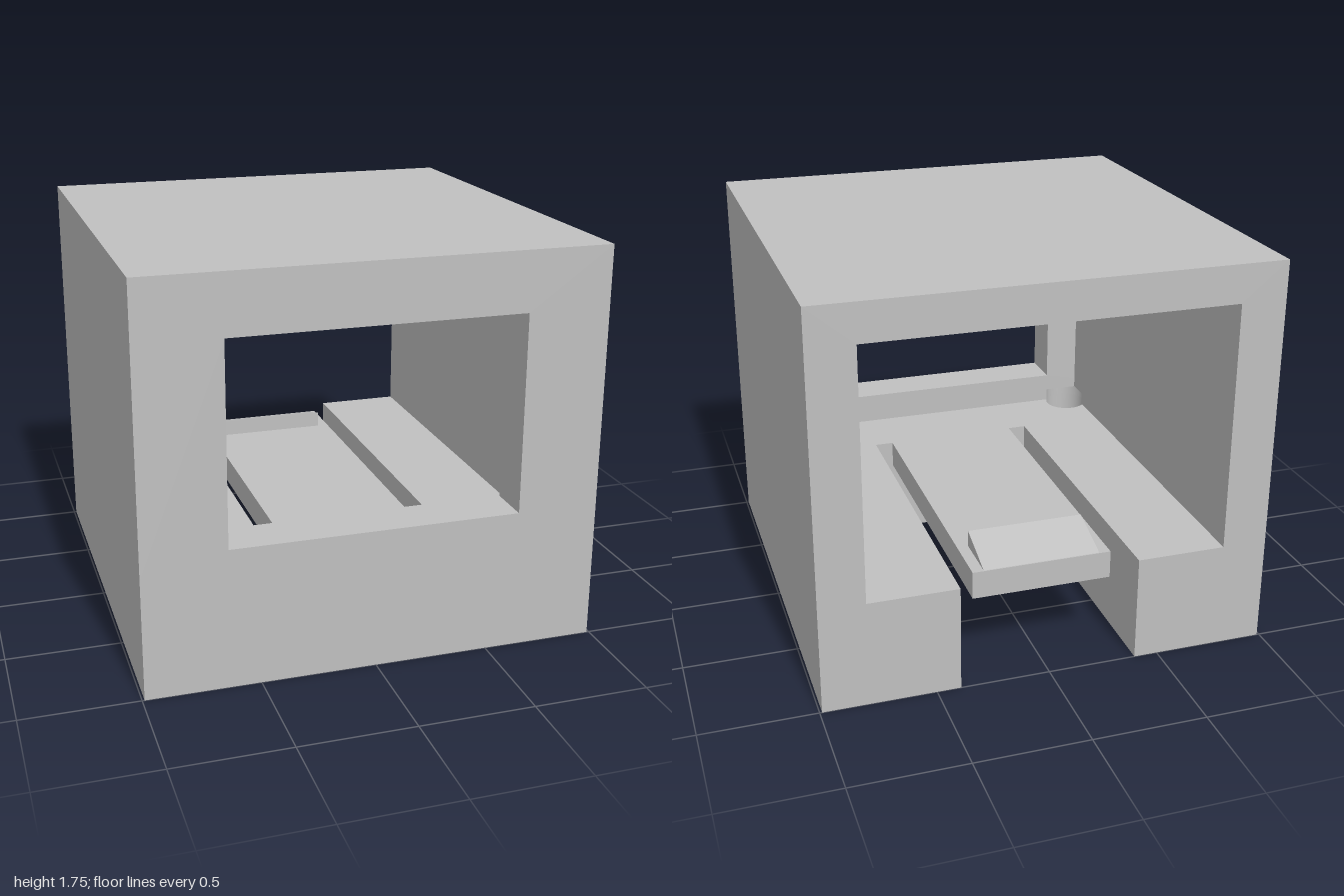
import * as THREE from 'three';
import { toCreasedNormals } from 'three/addons/utils/BufferGeometryUtils.js';

const W = 0.99, H = 1.75, D = 1;          // outer half width, height, half depth
const IN = 0.79, FLOOR = 0.477, CEIL = 1.583; // inner cavity
const SLOT = 0.395, SLOT_END = 0.49;      // slot in the floor
const WALL = 0.8;                         // inner face of the front wall
const HX = 0.72, HZ = 0.75, R = 0.102, HOLE_TOP = 0.535; // screw holes

const polygon = (pts) => new THREE.Shape(pts.map(([x, y]) => new THREE.Vector2(x, y)));
const rect = (x0, y0, x1, y1) => polygon([[x0, y0], [x1, y0], [x1, y1], [x0, y1]]);

function extrude(shape, depth) {
  return new THREE.ExtrudeGeometry(shape, { depth, bevelEnabled: false, curveSegments: 32 });
}
// profile in x,y swept from z0 to z1
const alongZ = (shape, z0, z1) => extrude(shape, z1 - z0).translate(0, 0, z0);
// outline in x,z raised from y0 to y1
const alongY = (shape, y0, y1) => extrude(shape, y1 - y0).rotateX(Math.PI / 2).translate(0, y1, 0);
// profile in z,y swept across a width centred on x = 0
const alongX = (shape, w) => extrude(shape, w).rotateY(-Math.PI / 2).translate(w / 2, 0, 0);

export function createModel() {
  const model = new THREE.Group();
  model.name = 'housing';
  const grey = new THREE.MeshStandardMaterial({ color: 0xc0c0c0 });
  grey.name = 'light grey';
  const add = (name, geometry) => {
    const mesh = new THREE.Mesh(toCreasedNormals(geometry, 0.5), grey);
    mesh.name = name;
    model.add(mesh);
  };

  // Rear tunnel, open at the back, with a slot through its floor
  add('tunnel', alongZ(polygon([
    [-W, 0], [-SLOT, 0], [-SLOT, FLOOR], [-IN, FLOOR], [-IN, CEIL], [IN, CEIL],
    [IN, FLOOR], [SLOT, FLOOR], [SLOT, 0], [W, 0], [W, H], [-W, H],
  ]), -D, SLOT_END));

  // Solid front floor with two screw holes
  const base = rect(-W, SLOT_END, W, D);
  for (const s of [-1, 1]) {
    base.holes.push(new THREE.Path().absarc(s * HX, HZ, R, 0, Math.PI * 2, true));
  }
  add('frontFloor', alongY(base, 0, FLOOR));

  // Low wall band whose corners are notched by the screw holes
  const side = Math.acos((IN - HX) / R), front = Math.asin((WALL - HZ) / R);
  const band = polygon([[-W, SLOT_END], [-W, D], [W, D], [W, SLOT_END], [IN, SLOT_END]]);
  band.autoClose = true;
  band.lineTo(IN, HZ - R * Math.sin(side));
  band.absarc(HX, HZ, R, -side, Math.PI - front, false);
  band.absarc(-HX, HZ, R, front, Math.PI + side, false);
  band.lineTo(-IN, SLOT_END);
  add('notchedWallBand', alongY(band, FLOOR, HOLE_TOP));

  // Side walls and roof above the band
  add('upperWalls', alongZ(polygon([
    [-W, HOLE_TOP], [-IN, HOLE_TOP], [-IN, CEIL], [IN, CEIL],
    [IN, HOLE_TOP], [W, HOLE_TOP], [W, H], [-W, H],
  ]), SLOT_END, WALL));

  // Front wall with a rectangular window
  const face = rect(-W, HOLE_TOP, W, H);
  face.holes.push(rect(-0.63, 0.617, 0.63, 1.49));
  add('frontWall', alongZ(face, WALL, D));

  // Spring tongue in the slot, with a ramped catch at its free end
  add('tongue', alongZ(rect(-0.31, 0.353, 0.31, FLOOR), -0.89, SLOT_END));
  add('catch', alongX(polygon([[-0.885, FLOOR], [-0.66, FLOOR], [-0.66, 0.55]]), 0.52));

  return model;
}
